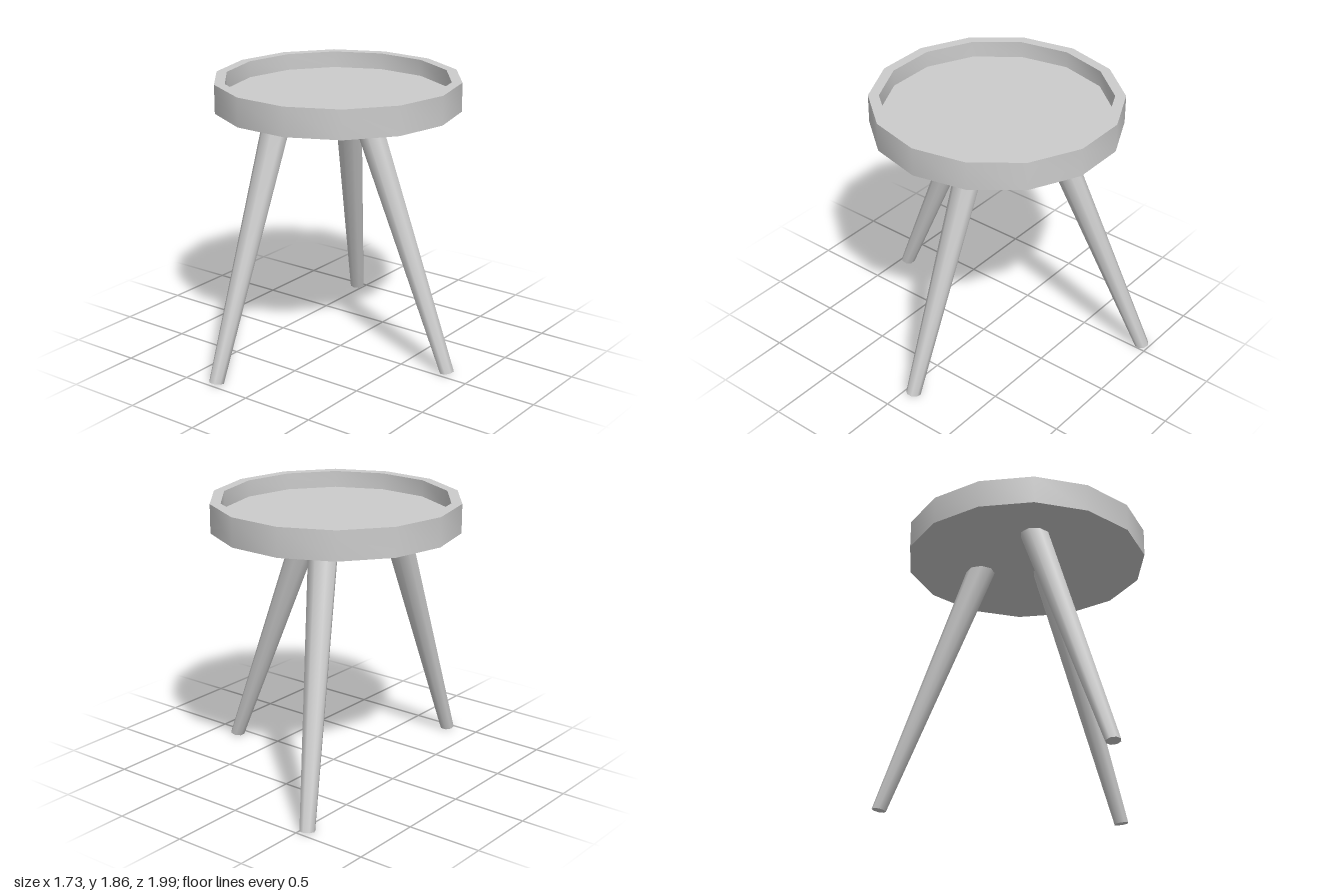
import * as THREE from 'three';
import { toCreasedNormals } from 'three/addons/utils/BufferGeometryUtils.js';

const material = new THREE.MeshStandardMaterial({ color: 0xcccccc });

// Tapered eight-sided leg standing on its foot, leaning inwards from +x
function legGeometry() {
  const height = 1.72, lean = 0.409, footTilt = 0.17;
  const geometry = new THREE.CylinderGeometry(0.099, 0.05, height, 8);
  geometry.rotateY(Math.PI / 8).translate(0, height / 2, 0);
  const p = geometry.attributes.position;
  for (let i = 0; i < p.count; i++) {
    const x = p.getX(i), t = p.getY(i) / height;
    // The foot rises a little on its outer side
    const y = t * height + (1 - t) * footTilt * (x + 0.046);
    p.setXYZ(i, x - lean * y, y, p.getZ(i));
  }
  return toCreasedNormals(geometry, Math.PI / 3);
}

export function createModel() {
  const model = new THREE.Group();
  model.name = 'trayTable';

  // Fourteen-sided tray with a raised rim
  const profile = [
    [0, 1.665], [0.808, 1.665], [0.808, 1.855],
    [0.739, 1.855], [0.739, 1.745], [0, 1.745],
  ].map(([r, y]) => new THREE.Vector2(r, y));
  const trayGeometry = new THREE.LatheGeometry(profile, 14, Math.PI / 2);
  const tray = new THREE.Mesh(toCreasedNormals(trayGeometry, Math.PI / 3), material);
  tray.name = 'trayTop';
  tray.position.set(-0.063, 0, -0.055);
  model.add(tray);

  // Three splayed legs: name, foot x, foot z, turn
  const geometry = legGeometry();
  for (const [name, x, z, degrees] of [
    ['leftLeg', 0.82, -0.065, 0],
    ['frontLeg', -0.285, 0.954, -90],
    ['backLeg', -0.55, -0.952, 120],
  ]) {
    const leg = new THREE.Mesh(geometry, material);
    leg.name = name;
    leg.position.set(x, 0, z);
    leg.rotation.y = THREE.MathUtils.degToRad(degrees);
    model.add(leg);
  }
  return model;
}
